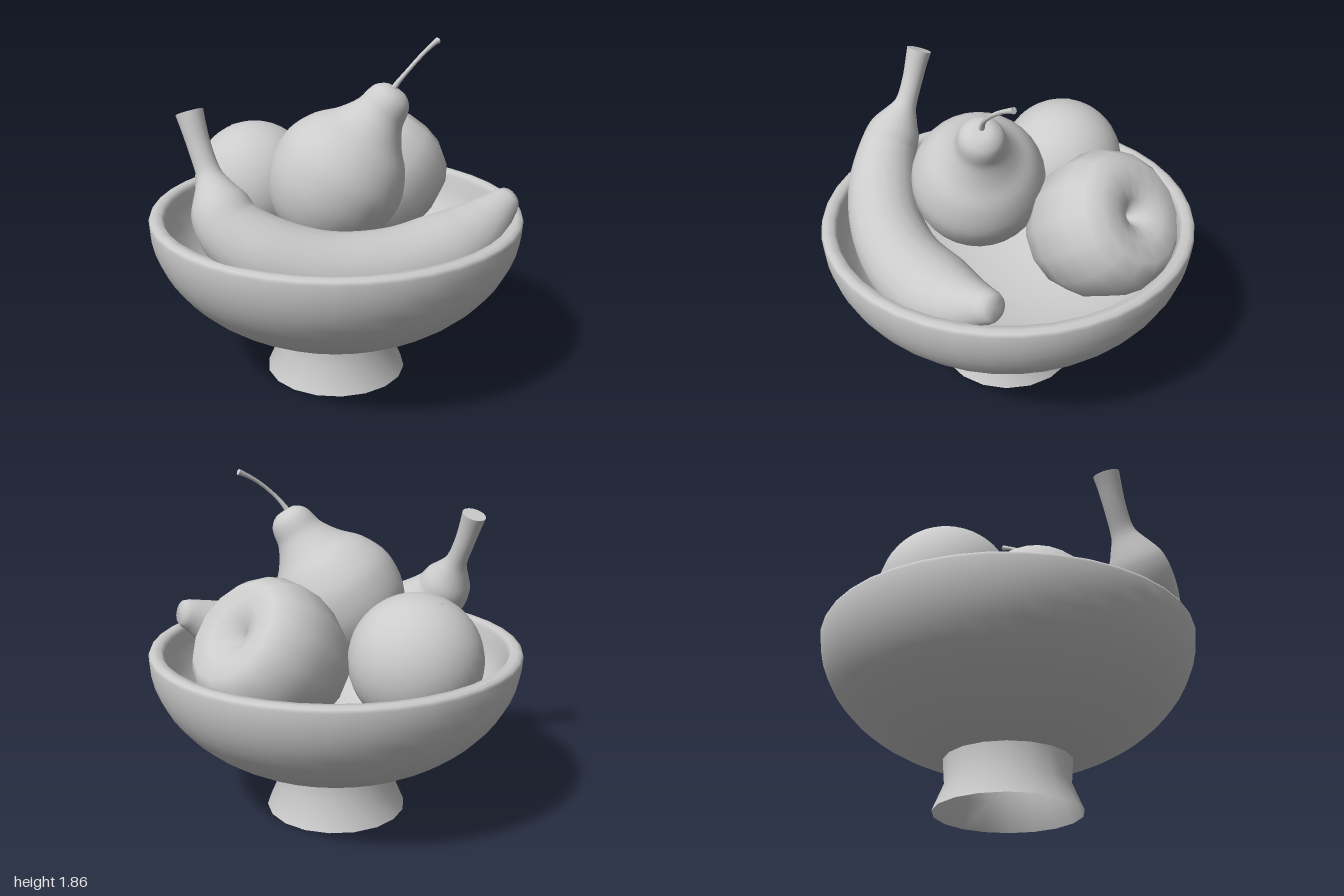
import * as THREE from 'three';
import { mergeVertices, toCreasedNormals } from 'three/addons/utils/BufferGeometryUtils.js';

const material = new THREE.MeshStandardMaterial({ color: 0xcccccc });
const thin = new THREE.MeshStandardMaterial({ color: 0xcccccc, side: THREE.DoubleSide });
const UP = new THREE.Vector3(0, 1, 0);

function mesh(name, geometry, mat = material) {
  const m = new THREE.Mesh(geometry, mat);
  m.name = name;
  return m;
}

// Lathe from [radius, height] pairs listed from the bottom up; optionally smoothed
function turned(profile, sides, samples = 0) {
  let pts = profile.map(([r, y]) => new THREE.Vector2(r, y));
  if (samples) pts = new THREE.SplineCurve(pts).getPoints(samples);
  pts.forEach((p) => { p.x = Math.max(p.x, 0); });
  return new THREE.LatheGeometry(pts, sides);
}

function place(object, position, axis) {
  object.position.set(...position);
  object.quaternion.setFromUnitVectors(UP, new THREE.Vector3(...axis).normalize());
  return object;
}

// Tube of varying radius with closed ends; stations are [x, y, z, radius]
function taperedTube(stations, rings, sides, crease) {
  const curve = new THREE.CatmullRomCurve3(stations.map(([x, y, z]) => new THREE.Vector3(x, y, z)));
  const radii = new THREE.SplineCurve(stations.map((s, i) => new THREE.Vector2(i, s[3])));
  const geo = new THREE.TubeGeometry(curve, rings, 1, sides);
  const pos = geo.attributes.position;
  const offset = new THREE.Vector3();
  for (let i = 0; i <= rings; i++) {
    const oldCentre = curve.getPointAt(i / rings);
    // the first and last rings collapse to a point to close the ends
    const u = THREE.MathUtils.clamp((i - 1) / (rings - 2), 0, 1);
    const centre = curve.getPointAt(u);
    const r = i === 0 || i === rings ? 0 : radii.getPoint(curve.getUtoTmapping(u)).y;
    for (let j = 0; j <= sides; j++) {
      const k = i * (sides + 1) + j;
      offset.fromBufferAttribute(pos, k).sub(oldCentre).multiplyScalar(r).add(centre);
      pos.setXYZ(k, offset.x, offset.y, offset.z);
    }
  }
  geo.deleteAttribute('uv');
  geo.deleteAttribute('normal');
  return toCreasedNormals(mergeVertices(geo, 1e-4), crease);
}

// Points along an elliptical bowl wall, from angle a0 to a1 below the rim
function bowlArc(radius, depth, rimY, a0, a1, steps) {
  return Array.from({ length: steps + 1 }, (_, i) => {
    const a = THREE.MathUtils.lerp(a0, a1, i / steps);
    return [radius * Math.cos(a), rimY - depth * Math.sin(a)];
  });
}

function buildBowl() {
  const bowl = new THREE.Group();
  bowl.name = 'bowl';
  bowl.add(mesh('bowlShell', turned([
    [0, 0.27],
    ...bowlArc(1, 0.69, 0.92, 1.228, 0, 12),
    [0.992, 0.938], [0.97, 0.947], [0.935, 0.945],
    ...bowlArc(0.918, 0.6, 0.92, 0, Math.PI / 2, 12),
  ], 40)));
  // hollow flared foot
  bowl.add(mesh('foot', turned([[0.386, 0], [0.327, 0.14], [0.337, 0.28]], 18), thin));
  return bowl;
}

function buildOrange() {
  const orange = new THREE.Group();
  orange.name = 'orange';
  orange.add(mesh('orangeBody', new THREE.SphereGeometry(0.342, 32, 24)));
  const axis = new THREE.Vector3(-0.05, 0.316, -0.12).normalize();
  const navel = mesh('orangeNavel', new THREE.CylinderGeometry(0.012, 0.014, 0.006, 8));
  orange.add(place(navel, axis.clone().multiplyScalar(0.341).toArray(), axis.toArray()));
  orange.position.set(-0.09, 0.98, -0.57);
  return orange;
}

function buildApple() {
  // origin at the centre of the shoulder, dimpled at both ends
  const body = mesh('apple', turned([
    [0, -0.56], [0.07, -0.58], [0.13, -0.62], [0.2, -0.62], [0.3, -0.54], [0.36, -0.41],
    [0.383, -0.27], [0.375, -0.15], [0.33, -0.055], [0.265, 0.006], [0.16, 0],
    [0.075, -0.03], [0.03, -0.09], [0, -0.11],
  ], 14));
  return place(body, [0.722, 1.175, -0.175], [0.78, 0.62, -0.04]);
}

function buildPear() {
  const pear = new THREE.Group();
  pear.name = 'pear';
  const body = new THREE.Group();
  body.name = 'pearFruit';
  body.add(mesh('pearBody', turned([
    [0, -0.33], [0.06, -0.35], [0.15, -0.325], [0.26, -0.24], [0.332, -0.11], [0.352, 0.02],
    [0.337, 0.12], [0.28, 0.23], [0.205, 0.31], [0.158, 0.375], [0.13, 0.43],
    [0.119, 0.485], [0.1, 0.53], [0.055, 0.564], [0, 0.568],
  ], 32, 42)));
  const calyx = mesh('pearCalyx', new THREE.CylinderGeometry(0.045, 0.035, 0.03, 8));
  calyx.position.y = -0.34;
  body.add(calyx);
  pear.add(place(body, [-0.11, 1.15, 0.11], [0.4, 0.84, 0.37]));
  pear.add(mesh('pearStem', taperedTube([
    [0.09, 1.6, 0.3, 0.02], [0.115, 1.65, 0.318, 0.014], [0.16, 1.71, 0.345, 0.011],
    [0.25, 1.787, 0.365, 0.011], [0.33, 1.833, 0.37, 0.013], [0.362, 1.847, 0.373, 0.017],
  ], 20, 8, 0.9)));
  return pear;
}

function buildBanana() {
  // stalk, swelling shoulder, curved body and blunt rounded tip
  return mesh('banana', taperedTube([
    [-0.81, 1.583, -0.172, 0.068], [-0.81, 1.53, -0.15, 0.063], [-0.808, 1.42, -0.105, 0.057],
    [-0.806, 1.3, -0.045, 0.062], [-0.81, 1.235, -0.005, 0.098], [-0.815, 1.165, 0.04, 0.143],
    [-0.81, 1.065, 0.11, 0.164], [-0.715, 0.945, 0.25, 0.19], [-0.5, 0.845, 0.43, 0.2],
    [-0.2, 0.81, 0.575, 0.208], [0.1, 0.835, 0.655, 0.21], [0.29, 0.9, 0.695, 0.17],
    [0.42, 0.97, 0.715, 0.122], [0.5, 1.015, 0.725, 0.09], [0.54, 1.03, 0.728, 0.078],
    [0.555, 1.037, 0.729, 0.066],
  ], 80, 20, 1.3));
}

export function createModel() {
  const model = new THREE.Group();
  model.name = 'fruitBowl';
  model.add(buildBowl(), buildOrange(), buildApple(), buildPear(), buildBanana());
  return model;
}
